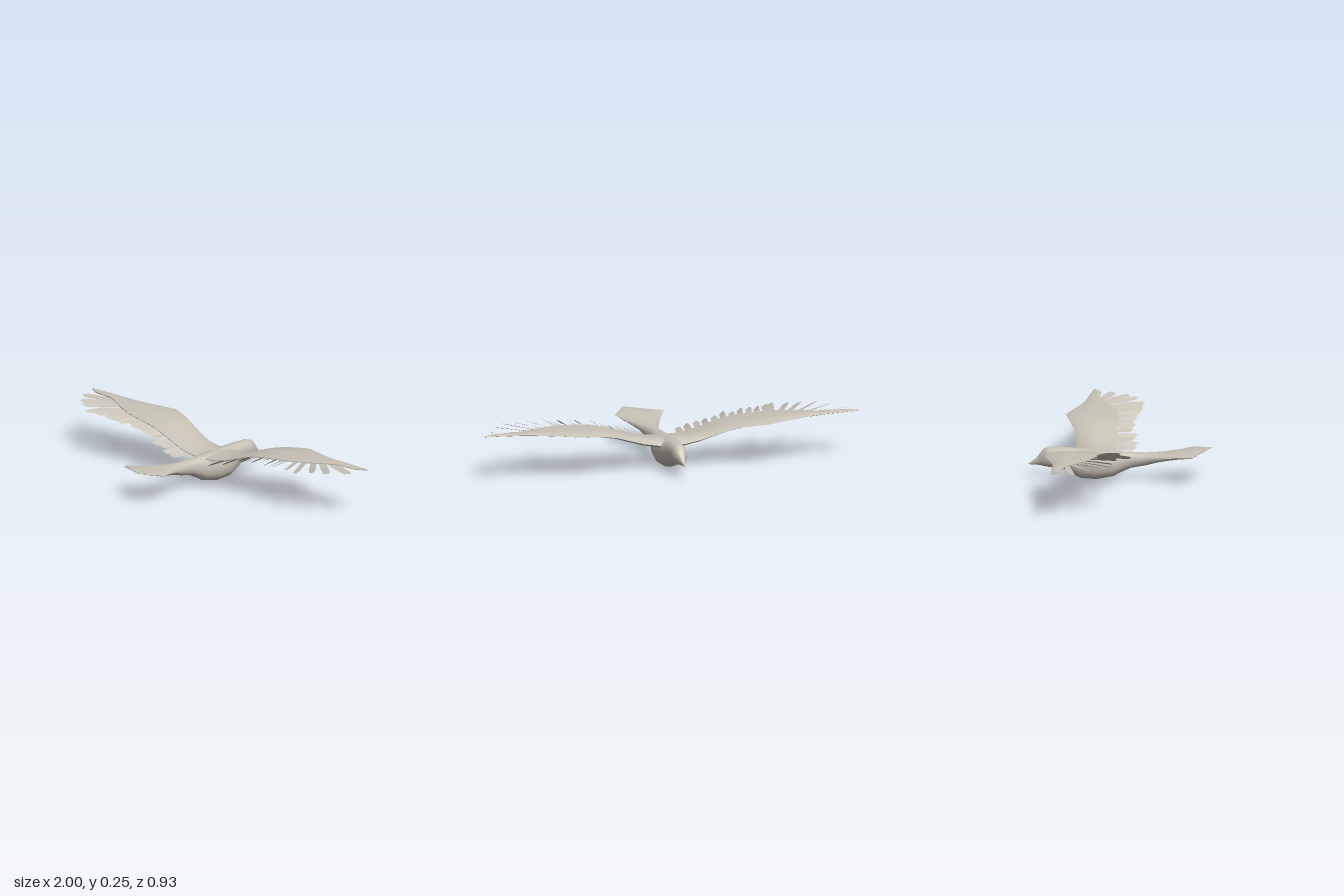
import * as THREE from 'three';
import { toCreasedNormals } from 'three/addons/utils/BufferGeometryUtils.js';

// Skin a list of rings (arrays of [x, y, z]) into a surface
function loft(rings, crease) {
  const n = rings[0].length, index = [];
  for (let i = 0; i < rings.length - 1; i++) {
    for (let j = 0; j < n; j++) {
      const a = i * n + j, b = i * n + (j + 1) % n, c = a + n, d = b + n;
      index.push(a, b, d, a, d, c);
    }
  }
  const g = new THREE.BufferGeometry();
  g.setAttribute('position', new THREE.Float32BufferAttribute(rings.flat(2), 3));
  g.setIndex(index);
  return toCreasedNormals(g, crease);
}

// Body from beak to tail: z, top, bottom, half width
const BODY = [
  [-0.468, 0.075, 0.07, 0.002], [-0.43, 0.103, 0.069, 0.012], [-0.405, 0.135, 0.066, 0.024],
  [-0.39, 0.155, 0.063, 0.032], [-0.36, 0.165, 0.058, 0.039], [-0.29, 0.165, 0.053, 0.046],
  [-0.25, 0.163, 0.033, 0.056], [-0.2, 0.16, 0.007, 0.065], [-0.12, 0.155, 0.002, 0.067],
  [-0.03, 0.15, 0.02, 0.054], [0.0, 0.149, 0.038, 0.046], [0.06, 0.147, 0.066, 0.038],
  [0.13, 0.145, 0.08, 0.039], [0.2, 0.148, 0.1, 0.056], [0.29, 0.155, 0.122, 0.092],
];

function bodyGeometry() {
  const n = 16;
  const ring = (z, top, bottom, w, cx = 0, skew = 0) => Array.from({ length: n }, (_, j) => {
    const a = j / n * Math.PI * 2;
    const round = v => Math.sign(v) * Math.abs(v) ** 0.85;
    const x = w * round(Math.cos(a));
    return [cx + x, (top + bottom) / 2 + (top - bottom) / 2 * round(Math.sin(a)), z + skew * x];
  });
  const rings = BODY.map(s => ring(...s));
  // lopsided pointed tail end
  rings.push(ring(0.372, 0.162, 0.143, 0.134, -0.005, -0.09));
  rings.push(ring(0.463, 0.17, 0.167, 0.003, 0.055));
  return loft(rings, 0.9);
}

// Wing span sections: x, leading z, trailing z, y, thickness
const WING = [
  [0.0, -0.235, -0.03, 0.137, 0.036], [0.07, -0.24, -0.03, 0.138, 0.034],
  [0.15, -0.242, -0.035, 0.152, 0.03], [0.22, -0.253, -0.04, 0.173, 0.026],
  [0.3, -0.272, -0.045, 0.2, 0.024], [0.38, -0.3, -0.055, 0.218, 0.022],
  [0.485, -0.333, -0.065, 0.229, 0.018], [0.58, -0.305, -0.085, 0.234, 0.016],
  [0.68, -0.275, -0.125, 0.238, 0.014], [0.76, -0.26, -0.17, 0.241, 0.011],
  [0.82, -0.256, -0.195, 0.243, 0.008], [0.94, -0.249, -0.203, 0.244, 0.005],
  [0.998, -0.245, -0.238, 0.244, 0.002],
];

function wingGeometry(side) {
  return loft(WING.map(([x, z0, z1, y, t]) => {
    const c = z1 - z0;
    const ring = [
      [x, y - t * 0.2, z0], [x, y + t * 0.4, z0 + c * 0.12], [x, y + t * 0.5, z0 + c * 0.45],
      [x, y + 0.002, z1], [x, y - 0.002, z1], [x, y - t * 0.25, z0 + c * 0.45],
      [x, y - t * 0.6, z0 + c * 0.12],
    ];
    return side > 0 ? ring : ring.map(p => [-p[0], p[1], p[2]]).reverse();
  }), 0.7);
}

// Height of the wing at a given span
function wingY(x) {
  let i = 1;
  while (i < WING.length - 1 && WING[i][0] < x) i++;
  const a = WING[i - 1], b = WING[i];
  return THREE.MathUtils.mapLinear(Math.min(x, 1), a[0], b[0], a[3], b[3]);
}

// Flight feathers: root x, root z, tip x, tip z, half width, roll
const FEATHERS = [
  [0.76, -0.19, 0.972, -0.137, 0.02, 0.25], [0.72, -0.18, 0.9, -0.048, 0.02, 0.3],
  [0.68, -0.165, 0.835, 0.0, 0.019, 0.35], [0.64, -0.15, 0.76, 0.048, 0.02, 0.35],
  [0.6, -0.14, 0.69, 0.046, 0.02, 0.4], [0.56, -0.13, 0.605, 0.058, 0.02, 0.4],
];
// secondaries along the arm
const TIPS = [0.075, 0.08, 0.058, 0.066, 0.04, 0.048, 0.03, 0.042, 0.028, 0.045, 0.052];
TIPS.forEach((tip, i) => {
  const x = 0.1 + i * 0.044;
  FEATHERS.push([x, -0.09, x + 0.015 + i * 0.002, tip, 0.017, 0.45 + 0.2 * (i % 2)]);
});

function feathersGeometry(side) {
  const pos = [], index = [];
  // distance along the feather, width factor
  const steps = [[0, 0.7], [0.55, 1], [0.88, 0.9], [1, 0.3]];
  FEATHERS.forEach(([x0, z0, x1, z1, w, roll], k) => {
    const len = Math.hypot(x1 - x0, z1 - z0), dx = (x1 - x0) / len, dz = (z1 - z0) / len;
    const y0 = wingY(x0), y1 = THREE.MathUtils.lerp(y0, wingY(x1), 0.5) + (k % 3 - 1) * 0.004;
    const base = pos.length / 3;
    steps.forEach(([t, f], s) => {
      for (const e of [-1, 1]) {
        const r = roll * Math.min(1, t * 2), off = e * w * f;
        const along = len * t - (s === 3 && e < 0 ? 0.012 : 0);
        pos.push(side * (x0 + dx * along + dz * off * Math.cos(r)),
          THREE.MathUtils.lerp(y0, y1, t) + off * Math.sin(r),
          z0 + dz * along - dx * off * Math.cos(r));
      }
      if (s < steps.length - 1) {
        const a = base + s * 2;
        if (side > 0) index.push(a, a + 2, a + 1, a + 1, a + 2, a + 3);
        else index.push(a, a + 1, a + 2, a + 1, a + 3, a + 2);
      }
    });
  });
  const g = new THREE.BufferGeometry();
  g.setAttribute('position', new THREE.Float32BufferAttribute(pos, 3));
  g.setIndex(index);
  g.computeVertexNormals();
  return g;
}

export function createModel() {
  const plumage = new THREE.MeshStandardMaterial({ color: 0xc8c2b6, side: THREE.DoubleSide });
  plumage.name = 'plumage';
  const bird = new THREE.Group();
  bird.name = 'bird';
  const add = (name, geometry) => {
    const mesh = new THREE.Mesh(geometry, plumage);
    mesh.name = name;
    bird.add(mesh);
  };
  add('bodyAndTail', bodyGeometry());
  for (const [name, side] of [['left', 1], ['right', -1]]) {
    add(name + 'Wing', wingGeometry(side));
    add(name + 'Feathers', feathersGeometry(side));
  }
  return bird;
}
